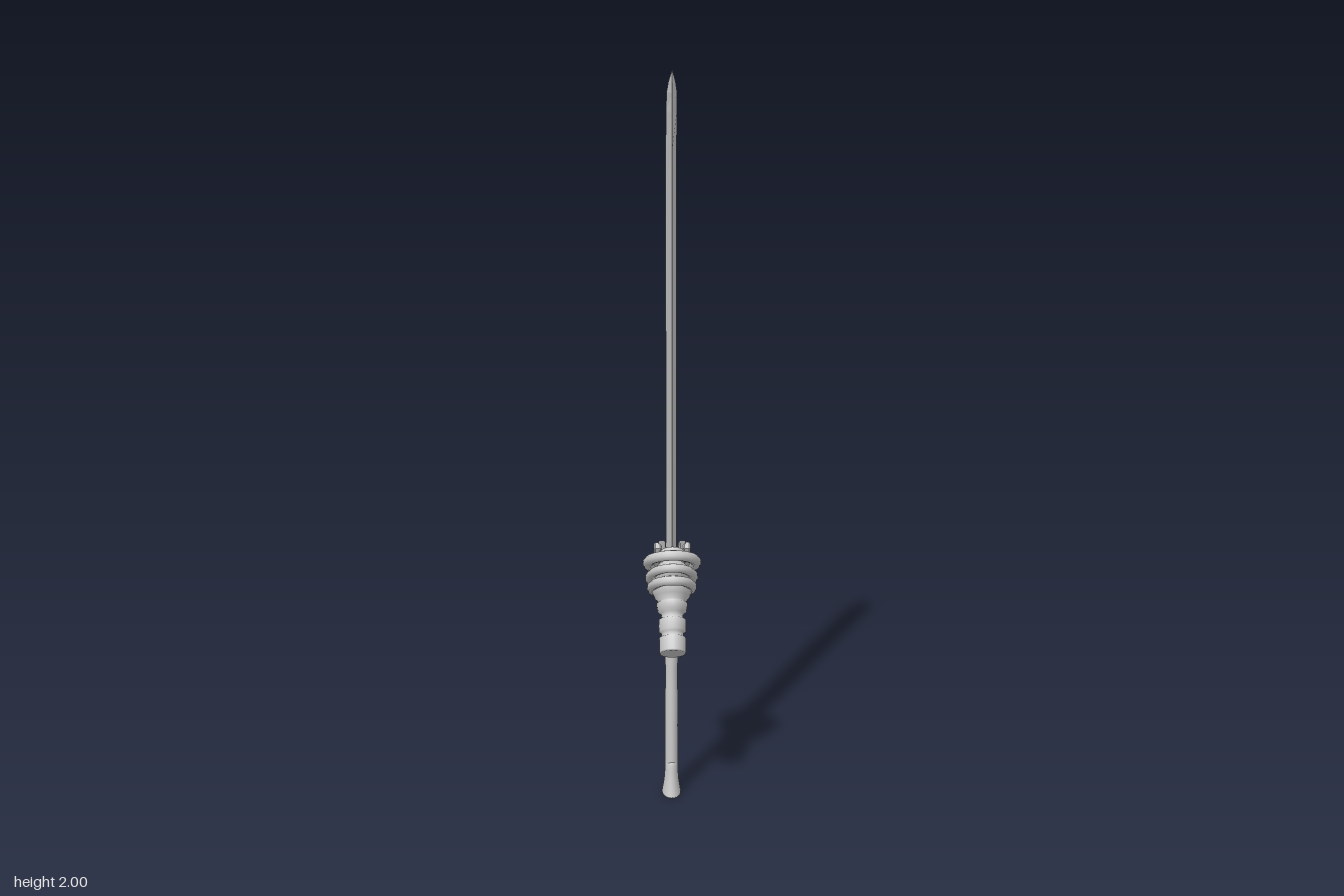
import * as THREE from 'three';

const smooth = new THREE.MeshStandardMaterial({ color: 0xcccccc, side: THREE.DoubleSide });
const flat = new THREE.MeshStandardMaterial({ color: 0xcccccc, flatShading: true, side: THREE.DoubleSide });

function add(parent, name, geometry, material = smooth) {
  const mesh = new THREE.Mesh(geometry, material);
  mesh.name = name;
  parent.add(mesh);
  return mesh;
}

// Lathe from [radius, y] pairs, squeezed sideways to an oval
function ovalLathe(profile, squeeze) {
  const g = new THREE.LatheGeometry(profile.map(([r, y]) => new THREE.Vector2(r, y)), 24);
  return g.scale(squeeze, 1, 1);
}

// Closed oval tube; y rises from the back end to the front end
function ovalRing(rx, zBack, zFront, yBack, yFront, tube) {
  const points = [];
  for (let i = 0; i < 24; i++) {
    const a = (i / 24) * Math.PI * 2;
    const t = (1 + Math.cos(a)) / 2;
    points.push(new THREE.Vector3(
      rx * Math.sin(a), yBack + (yFront - yBack) * t, zBack + (zFront - zBack) * t));
  }
  return new THREE.TubeGeometry(new THREE.CatmullRomCurve3(points, true), 64, tube, 10, true);
}

// Blade from diamond sections: [y, ridge half width, ridge z, edge z]
function bladeGeometry() {
  const spine = 0.058;
  const levels = [
    [0.55, 0.014, -0.06, -0.108], [1.7, 0.014, -0.06, -0.108], [1.8, 0.014, -0.05, -0.093],
    [1.89, 0.014, -0.018, -0.06], [1.94, 0.013, 0.012, -0.03],
    [1.967, 0.009, 0.03, -0.008], [2.0, 0, spine, spine],
  ];
  const pos = [], index = [];
  levels.forEach(([y, w, ridge, edge], k) => {
    pos.push(0, y, spine, w, y, ridge, 0, y, edge, -w, y, ridge);
    if (!k) return;
    for (let i = 0; i < 4; i++) {
      const j = (i + 1) % 4, a = (k - 1) * 4, b = k * 4;
      index.push(a + i, a + j, b + j, a + i, b + j, b + i);
    }
  });
  const g = new THREE.BufferGeometry();
  g.setAttribute('position', new THREE.Float32BufferAttribute(pos, 3));
  g.setIndex(index);
  g.computeVertexNormals();
  return g;
}

// Plate drawn in (z, y) and given a thickness along x, centred on x = 0
function plate(outline, thickness) {
  const shape = new THREE.Shape(outline.map(([z, y]) => new THREE.Vector2(-z, y)));
  const g = new THREE.ExtrudeGeometry(shape, {
    depth: thickness, bevelEnabled: true, bevelSize: 0.004, bevelThickness: 0.004, bevelSegments: 1,
  });
  return g.translate(0, 0, -thickness / 2).rotateY(Math.PI / 2);
}

// Thin four-sided spike between two points
function spike(from, to, radius) {
  const a = new THREE.Vector3(...from), d = new THREE.Vector3(...to).sub(a);
  const g = new THREE.ConeGeometry(radius, d.length(), 4).translate(0, d.length() / 2, 0);
  g.applyQuaternion(new THREE.Quaternion().setFromUnitVectors(new THREE.Vector3(0, 1, 0), d.normalize()));
  return g.translate(a.x, a.y, a.z);
}

export function createModel() {
  const model = new THREE.Group();
  model.name = 'sword';

  add(model, 'blade', bladeGeometry(), flat);

  // Grip with a flared pommel and a swelling below the guard
  const grip = add(model, 'grip', ovalLathe([
    [0.026, 0.08], [0.025, 0.2], [0.026, 0.3], [0.024, 0.31], [0.024, 0.38], [0.026, 0.39],
    [0.025, 0.49], [0.032, 0.52], [0.04, 0.56], [0.042, 0.62],
  ], 0.7));
  const pommel = add(model, 'pommel', ovalLathe([
    [0, 0], [0.045, 0], [0.045, 0.004], [0.036, 0.035], [0.031, 0.07], [0.03, 0.09], [0.025, 0.102], [0, 0.102],
  ], 0.58));
  grip.position.z = pommel.position.z = -0.026;

  // Everything wound round the guard leans forward
  const guard = new THREE.Group();
  guard.name = 'guard';
  guard.position.y = 0.64;
  guard.rotation.x = -0.58;
  model.add(guard);

  const core = add(guard, 'guardCore', new THREE.SphereGeometry(1, 32, 16));
  core.scale.set(0.052, 0.045, 0.125);

  add(guard, 'upperRing', ovalRing(0.064, -0.05, 0.168, 0.035, 0.022, 0.014));
  add(guard, 'middleRing', ovalRing(0.059, -0.138, 0.135, 0.008, -0.004, 0.012));
  add(guard, 'lowerRing', ovalRing(0.054, -0.115, 0.125, -0.018, -0.035, 0.013));
  add(guard, 'innerRing', ovalRing(0.042, -0.1, 0.13, 0.032, 0.045, 0.01));

  // Stepped stub reaching down and forward
  const stub = add(guard, 'stub', ovalLathe([
    [0, -0.208], [0.05, -0.208], [0.053, -0.204], [0.053, -0.166], [0.044, -0.162], [0.044, -0.152],
    [0.054, -0.148], [0.055, -0.118], [0.043, -0.112], [0.045, -0.1], [0.058, -0.094], [0.063, -0.074],
    [0.054, -0.068], [0.07, -0.055], [0.083, -0.035], [0.08, -0.01], [0, 0],
  ], 0.67));
  stub.position.z = 0.01;

  // Mirrored claws, cheeks and rear spikes
  for (const s of [-1, 1]) {
    const cheek = add(model, 'collarCheek', plate([
      [0.06, 0.765], [0.035, 0.75], [0.01, 0.72], [-0.055, 0.69], [-0.07, 0.68],
      [-0.06, 0.64], [-0.09, 0.6], [-0.04, 0.57], [0.05, 0.63], [0.04, 0.71],
    ], 0.01), flat);
    cheek.position.x = s * 0.022;
    cheek.rotation.y = s * 0.08;

    const claw = add(model, 'frontClaw', plate([
      [0.075, 0.75], [0.05, 0.755], [0.005, 0.715], [0.01, 0.69], [0.055, 0.71],
    ], 0.012), flat);
    claw.position.x = s * 0.038;

    add(model, 'rearSpike', spike([s * 0.034, 0.63, -0.05], [s * 0.012, 0.563, -0.165], 0.014), flat);
  }
  return model;
}
